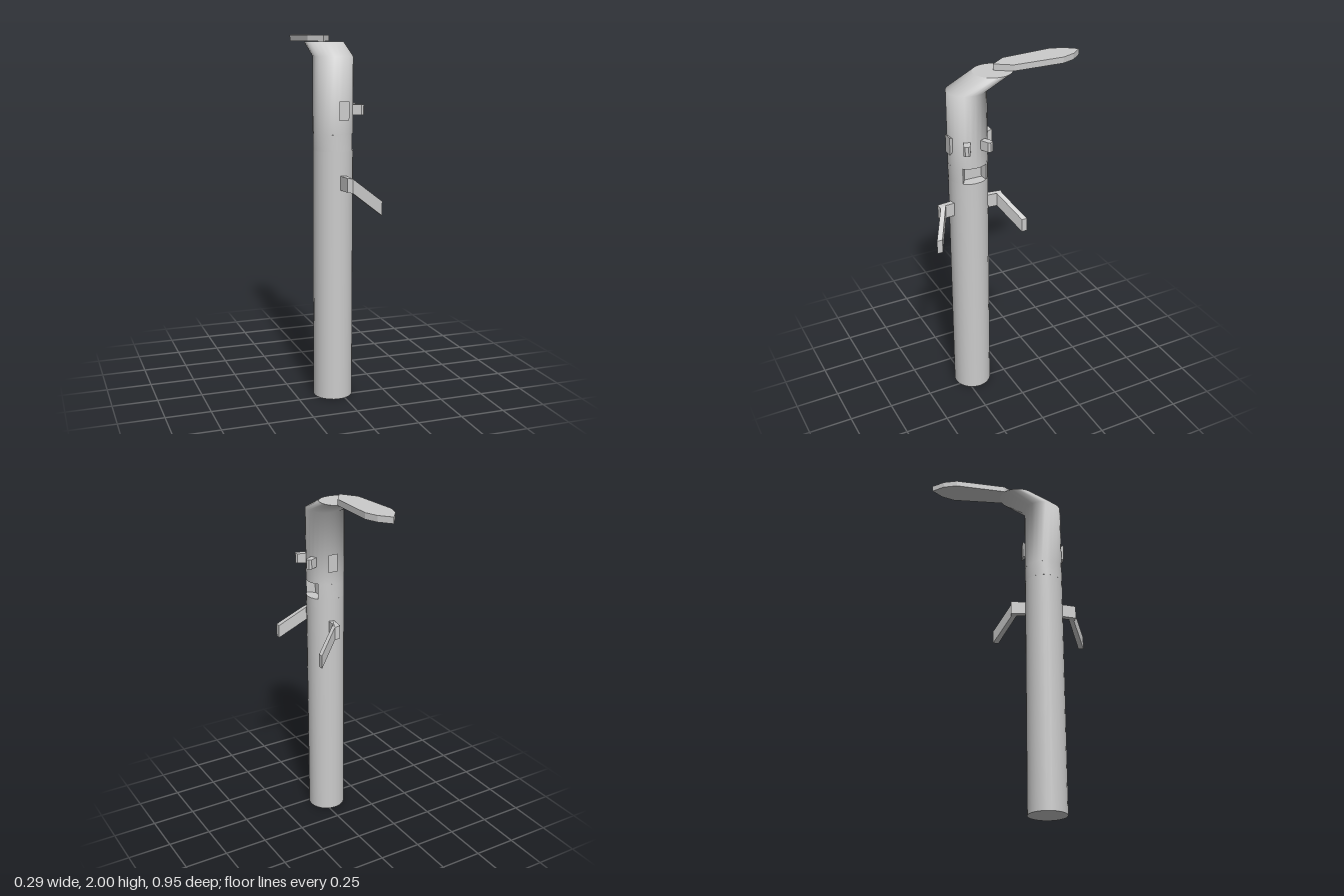
import * as THREE from 'three';
import { toCreasedNormals } from 'three/addons/utils/BufferGeometryUtils.js';

const CX = -0.037, CZ = 0.2, R = 0.109, SIDES = 24;
const mirrorZ = (pts) => pts.map(([x, z]) => [x, 2 * CZ - z]);

export function createModel() {
  const group = new THREE.Group();
  const mat = new THREE.MeshStandardMaterial({ color: 0xcccccc });
  const add = (name, geo) => {
    const mesh = new THREE.Mesh(geo, mat);
    mesh.name = name;
    group.add(mesh);
    return mesh;
  };

  // Upright prism over a plan outline given as [x, z] points
  const prism = (plan, y0, y1) => {
    const shape = new THREE.Shape(plan.map(([x, z]) => new THREE.Vector2(x, -z)));
    const geo = new THREE.ExtrudeGeometry(shape, { depth: y1 - y0, bevelEnabled: false });
    return geo.rotateX(-Math.PI / 2).translate(0, y0, 0);
  };

  // Lower trunk, up to the mouth
  add('lowerTrunk', new THREE.CylinderGeometry(R, R, 1.39, SIDES).translate(CX, 0.695, CZ));

  // Trunk band with the mouth pocket cut into its +x side
  const a0 = Math.asin(0.068 / R);
  const band = [];
  for (let i = 0; i <= SIDES; i++) {
    const a = a0 + (i / SIDES) * (2 * Math.PI - 2 * a0);
    band.push([CX + R * Math.cos(a), CZ + R * Math.sin(a)]);
  }
  band.push([0.005, 0.14], [0.005, 0.24]);
  add('mouthBand', toCreasedNormals(prism(band, 1.39, 1.48), 0.5));

  // Upper trunk, whose last ring is pushed back to form the bent neck
  const neck = new THREE.CylinderGeometry(R, R, 2, SIDES, 2, true);
  const p = neck.attributes.position;
  for (let i = 0; i < p.count; i++) {
    const ring = Math.round(p.getY(i)) + 1;
    p.setXYZ(i, p.getX(i) + CX, [1.48, 1.89, 1.965][ring], p.getZ(i) + [CZ, CZ, 0.047][ring]);
  }
  add('upperTrunk', toCreasedNormals(neck, 1.3));
  add('neckTop', new THREE.CircleGeometry(R, SIDES).rotateX(-Math.PI / 2)
    .rotateY(Math.PI / 2).translate(CX, 1.965, 0.047));
  add('mouthRoof', new THREE.CircleGeometry(R, SIDES).rotateX(Math.PI / 2)
    .rotateY(Math.PI / 2).translate(CX, 1.48, CZ));

  // Pointed blade lying on the neck
  add('blade', prism([
    [CX, 0.045], [0.026, -0.045], [0.041, -0.335], [0.016, -0.41], [CX, -0.475],
    [-0.09, -0.41], [-0.115, -0.335], [-0.1, -0.045],
  ], 1.966, 2));

  // Paired parts, mirrored about the trunk's middle
  const armPlan = [
    [-0.036, 0.28], [-0.003, 0.28], [0.003, 0.355], [0.143, 0.44],
    [0.143, 0.472], [0.01, 0.388], [-0.022, 0.392],
  ];
  const eyePlan = [
    [0, -0.018], [0.1, -0.018], [0.112, -0.009], [0.112, 0.009], [0.1, 0.018], [0, 0.018],
  ];
  for (const side of [1, -1]) {
    const label = side > 0 ? 'front' : 'back';

    // Bent arm: the forearm slopes down away from the elbow
    const arm = prism(side > 0 ? armPlan : mirrorZ(armPlan), 1.183, 1.26);
    const q = arm.attributes.position;
    for (let i = 0; i < q.count; i++) {
      q.setY(i, q.getY(i) - Math.max(0, q.getX(i) - 0.003) * 0.85);
    }
    arm.computeVertexNormals();
    add(label + 'Arm', arm);

    // Peg eye with chamfered tip, angled outwards
    const eye = add(label + 'Eye', prism(eyePlan, 1.58, 1.635));
    eye.rotation.y = -side * 0.46;
    eye.position.set(0.013, 0, CZ + side * 0.022);

    // Ear plate flaring away from the trunk
    const ear = new THREE.BoxGeometry(0.056, 0.102, 0.03);
    const e = ear.attributes.position;
    for (let i = 0; i < e.count; i++) {
      if (e.getZ(i) * side < 0) e.setXY(i, e.getX(i) * 0.4, e.getY(i) * 0.65);
    }
    ear.computeVertexNormals();
    add(label + 'Ear', ear).position.set(-0.017, 1.607, CZ + side * 0.108);
  }
  return group;
}
